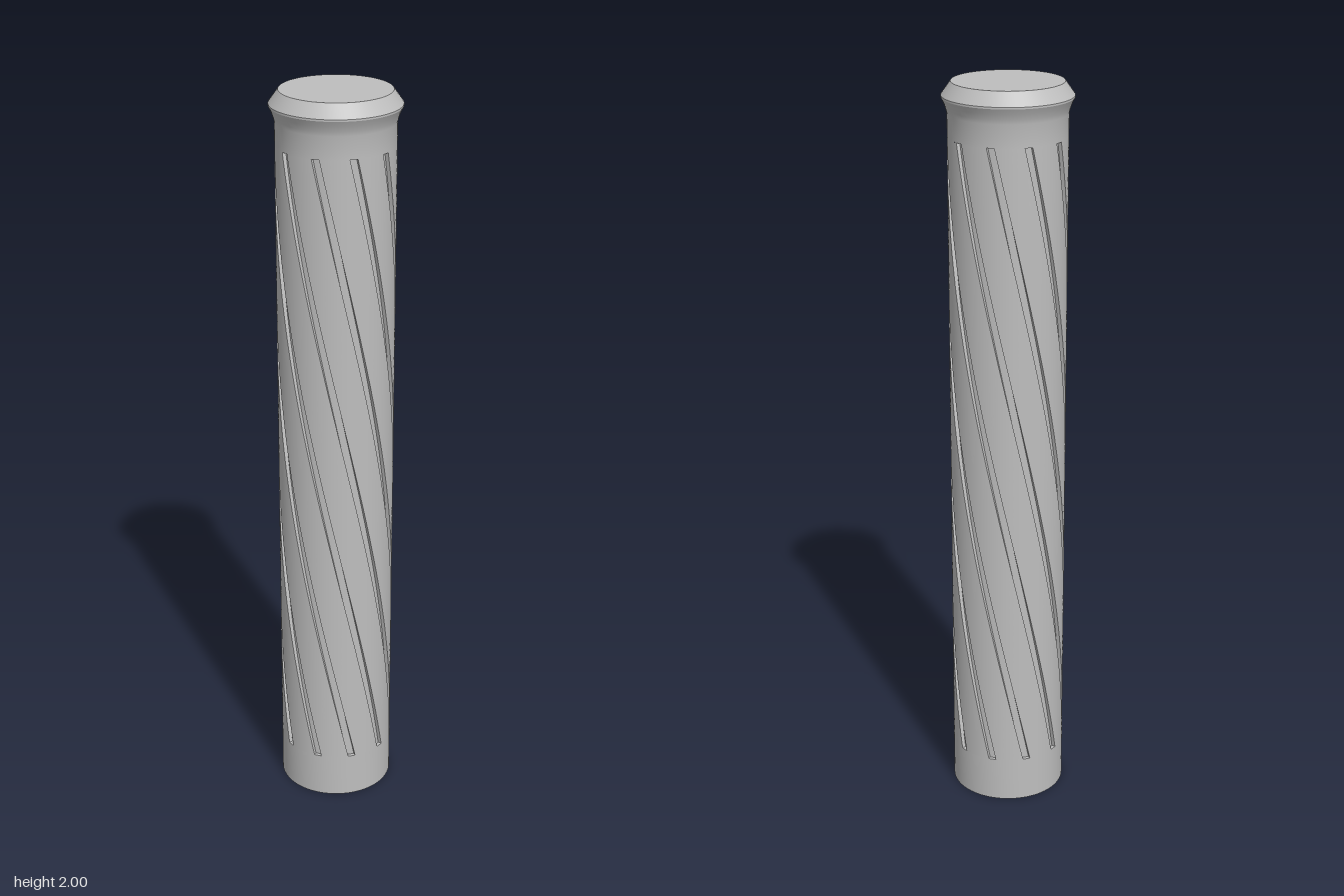
import * as THREE from 'three';
import { toCreasedNormals } from 'three/addons/utils/BufferGeometryUtils.js';
import { ParametricGeometry } from 'three/addons/geometries/ParametricGeometry.js';

const R = 0.155;               // shaft radius
const DEPTH = 0.01;            // groove depth
const COUNT = 10;              // number of grooves
const Y0 = 0.125, Y1 = 1.86;   // fluted span
const STEP = (Math.PI * 2) / COUNT;
const WIDTH = THREE.MathUtils.degToRad(7.5);
const TWIST = STEP * 4;
const TOP_ANGLE = THREE.MathUtils.degToRad(13);

const polar = (target, r, a, y) => target.set(r * Math.sin(a), y, r * Math.cos(a));

// Helical strip running up the shaft between two (radius, angle) edges
function strip(r0, a0, r1, a1, slices) {
  return new ParametricGeometry((u, v, t) => {
    const a = a0 + (a1 - a0) * u + TWIST * (1 - v);
    polar(t, r0 + (r1 - r0) * u, a, Y0 + (Y1 - Y0) * v);
  }, slices, 60);
}

// Flat face closing a groove end
function grooveEnd(a, y, rStart, rEnd) {
  return new ParametricGeometry((u, v, t) => {
    polar(t, rStart + (rEnd - rStart) * v, a + WIDTH * (u - 0.5), y);
  }, 3, 1);
}

function turned(points) {
  const profile = points.map(([r, y]) => new THREE.Vector2(r, y));
  return toCreasedNormals(new THREE.LatheGeometry(profile, 80), 0.35);
}

export function createModel() {
  const group = new THREE.Group();
  const grey = new THREE.MeshStandardMaterial({ color: 0xbebebe });
  grey.name = 'light grey';

  const add = (name, geometry, parent = group) => {
    const mesh = new THREE.Mesh(geometry, grey);
    mesh.name = name;
    parent.add(mesh);
  };

  // Plain foot with a shallow socket underneath
  add('foot', turned([[0, 0.025], [0.09, 0.025], [0.1, 0.012], [0.1, 0], [R, 0], [R, Y0]]));

  // Twisted fluted shaft
  const shaft = new THREE.Group();
  shaft.name = 'flutedShaft';
  group.add(shaft);
  const inner = R - DEPTH;
  for (let i = 0; i < COUNT; i++) {
    const a = TOP_ANGLE + i * STEP;
    const lo = a - WIDTH / 2, hi = a + WIDTH / 2;
    add('land', strip(R, hi, R, lo + STEP, 8), shaft);
    add('grooveWallLeft', strip(R, lo, inner, lo, 1), shaft);
    add('grooveFloor', strip(inner, lo, inner, hi, 3), shaft);
    add('grooveWallRight', strip(inner, hi, R, hi, 1), shaft);
    add('grooveBottomEnd', grooveEnd(a + TWIST, Y0, R, inner), shaft);
    add('grooveTopEnd', grooveEnd(a, Y1, inner, R), shaft);
  }

  // Neck flaring into the bevelled cap
  add('neckAndCap', turned([
    [R, Y1], [R, 1.92], [0.158, 1.932], [0.163, 1.946], [0.17, 1.96],
    [0.17, 1.965], [0.145, 2], [0, 2],
  ]));

  return group;
}
